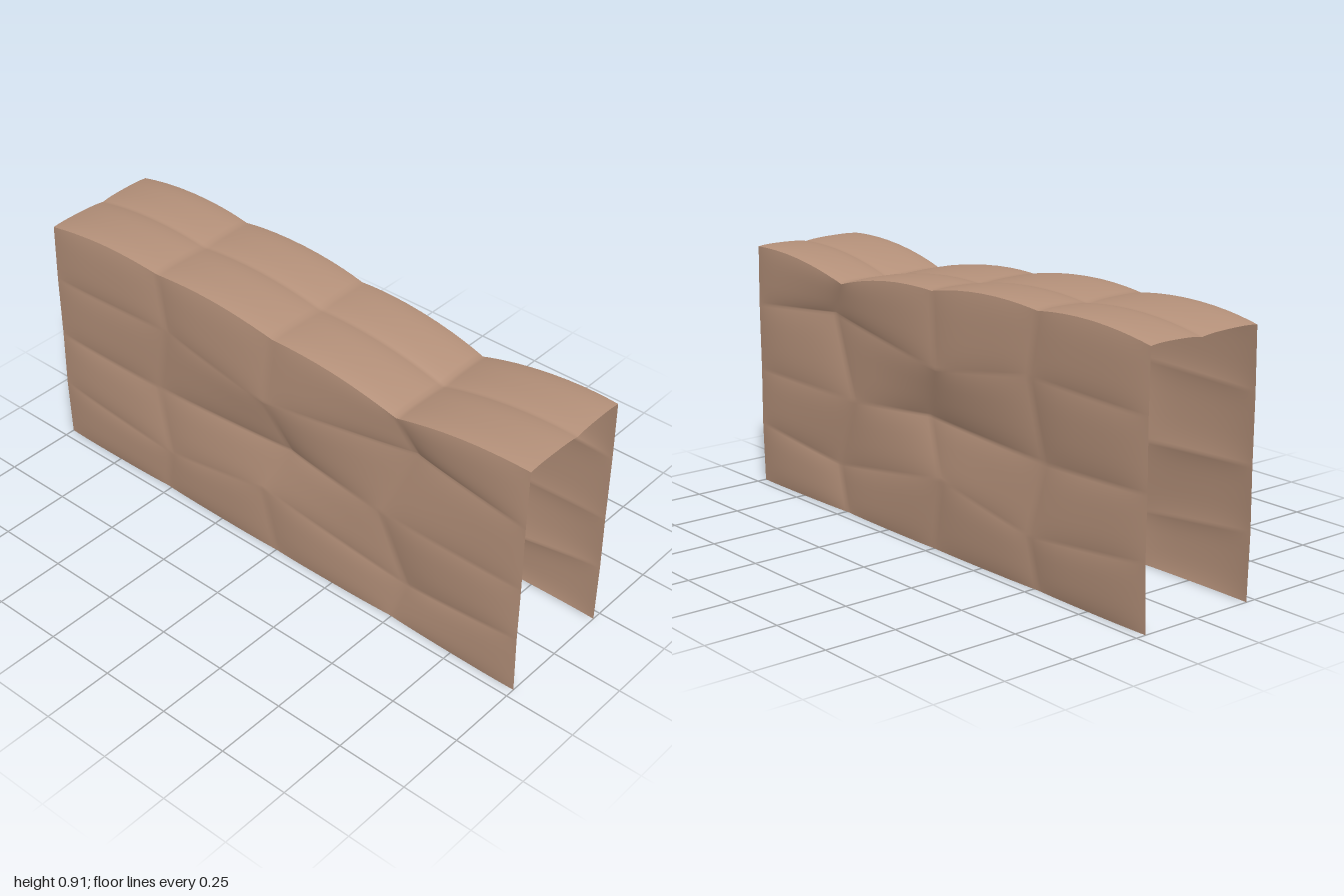
import * as THREE from 'three';

const COLS = 4, STEPS = 12;
// Corners of the stones on one face, [x, y, z], row by row from the ground up
const NODES = [
  [[-1, 0, .213], [-.52, 0, .21], [0, 0, .213], [.49, 0, .208], [1, 0, .215]],
  [[-1, .22, .22], [-.48, .17, .218], [-.05, .25, .222], [.55, .16, .197], [1, .22, .22]],
  [[-1, .43, .218], [-.54, .415, .205], [.05, .44, .187], [.44, .41, .208], [1, .42, .218]],
  [[-1, .66, .22], [-.475, .68, .217], [-.035, .615, .23], [.57, .695, .189], [1, .66, .22]],
  [[-1, .868, .217], [-.51, .886, .213], [0, .866, .217], [.5, .808, .213], [1, .868, .217]],
];

const lerp = THREE.MathUtils.lerp;
const pillow = (t) => 1 - Math.abs(2 * t - 1) ** 3;
const arch = (t) => 4 * t * (1 - t);
// Crowds the vertices towards the joints
const ease = (t) => t - 0.6 * Math.sin(2 * Math.PI * t) / (2 * Math.PI);

// Point on the front face inside stone (i, j)
function wallPoint(i, j, u, v) {
  const mix = (k) => lerp(
    lerp(NODES[j][i][k], NODES[j][i + 1][k], u),
    lerp(NODES[j + 1][i][k], NODES[j + 1][i + 1][k], u), v);
  const lift = j === 3 ? 0.022 * arch(u) * v * v : 0;
  const bulge = 0.011 * pillow(u) * (0.35 + 0.65 * pillow(v));
  return [mix(0), mix(1) + lift, mix(2) + bulge];
}

// Point on the capping: two rows of stones between the front and back edges
function topPoint(i, j, u, v) {
  const [x, y, edge] = wallPoint(i, 3, u, 1);
  const z = j === 0 ? lerp(edge, -0.012, v) : lerp(-0.012, -edge, v);
  const joint = j === 0 ? v : 1 - v;
  return [x, y - 0.004 * joint + 0.01 * pillow(v) * (0.6 + 0.4 * pillow(u)), z];
}

// Smooth sheet over a grid of stones
function stoneSheet(name, rows, point, flip, material) {
  const w = COLS * STEPS, h = rows * STEPS;
  const positions = [], index = [];
  for (let b = 0; b <= h; b++) {
    const j = Math.min(Math.floor(b / STEPS), rows - 1);
    for (let a = 0; a <= w; a++) {
      const i = Math.min(Math.floor(a / STEPS), COLS - 1);
      positions.push(...point(i, j, ease(a / STEPS - i), ease(b / STEPS - j)));
      if (a < w && b < h) {
        const p = b * (w + 1) + a, q = p + w + 1;
        if (flip) index.push(p, q, p + 1, p + 1, q, q + 1);
        else index.push(p, p + 1, q, p + 1, q + 1, q);
      }
    }
  }
  const geometry = new THREE.BufferGeometry();
  geometry.setAttribute('position', new THREE.Float32BufferAttribute(positions, 3));
  geometry.setIndex(index);
  geometry.computeVertexNormals();
  const mesh = new THREE.Mesh(geometry, material);
  mesh.name = name;
  return mesh;
}

export function createModel() {
  const stone = new THREE.MeshStandardMaterial({ color: 0xb5917a, side: THREE.DoubleSide });
  const group = new THREE.Group();
  group.name = 'stoneWall';
  const backPoint = (...args) => {
    const [x, y, z] = wallPoint(...args);
    return [x, y, -z];
  };
  group.add(
    stoneSheet('frontFace', 4, wallPoint, false, stone),
    stoneSheet('backFace', 4, backPoint, true, stone),
    stoneSheet('topCapping', 2, topPoint, false, stone),
  );
  return group;
}
